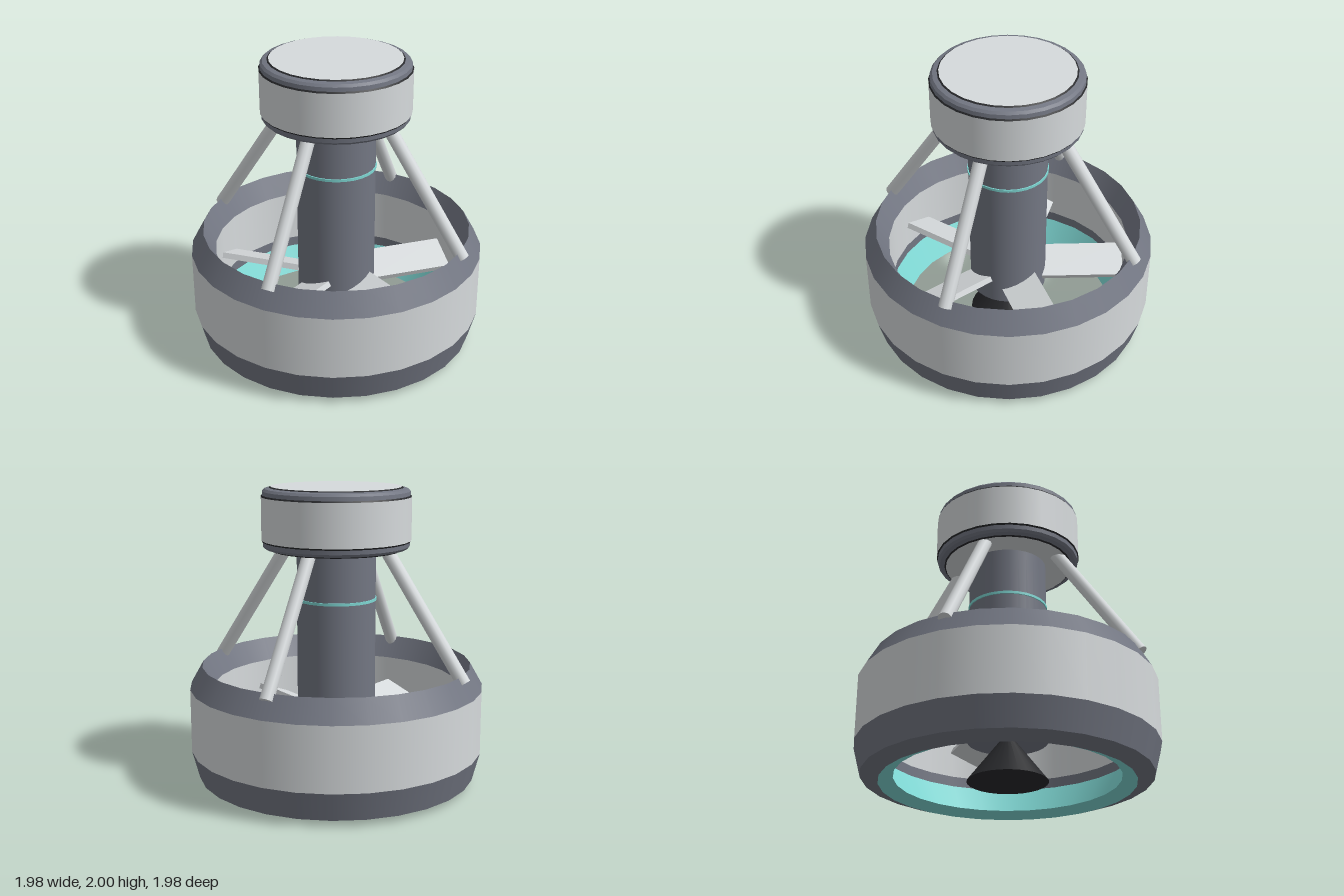
import * as THREE from 'three';
import { mergeGeometries } from 'three/addons/utils/BufferGeometryUtils.js';

const material = (name, color) => {
  const m = new THREE.MeshStandardMaterial({ color });
  m.name = name;
  return m;
};

export function createModel() {
  const light = material('light grey', 0xd6dadc);
  const dark = material('slate grey', 0x737783);
  const teal = material('teal', 0x7fd8d4);
  const black = material('black', 0x28292c);
  const model = new THREE.Group();
  model.name = 'ductedFanDrone';

  const add = (name, geometry, mat, parent = model) => {
    const mesh = new THREE.Mesh(geometry, mat);
    mesh.name = name;
    parent.add(mesh);
    return mesh;
  };

  // Turned surface: each profile segment is its own lathe, so rings stay sharp.
  // Profiles run up the outside, inward over the top and down the inside.
  const turned = (name, mat, profile, parent, sides = 28) => {
    const bands = [];
    for (let i = 0; i + 1 < profile.length; i++) {
      const pts = [profile[i], profile[i + 1]].map(([r, y]) => new THREE.Vector2(r, y));
      bands.push(new THREE.LatheGeometry(pts, sides, Math.PI / sides));
    }
    return add(name, mergeGeometries(bands), mat, parent);
  };

  // Duct
  const duct = new THREE.Group();
  duct.name = 'duct';
  model.add(duct);
  turned('ductLowerShell', dark, [[0.83, 0], [0.945, 0.04], [0.995, 0.23]], duct);
  turned('ductOuterPanel', light, [[0.995, 0.23], [0.995, 0.66]], duct);
  turned('ductUpperLip', dark, [[0.995, 0.66], [0.91, 0.81], [0.83, 0.66]], duct);
  turned('ductInnerPanel', light, [[0.83, 0.66], [0.83, 0.29]], duct);
  turned('ductInnerBand', dark, [[0.83, 0.29], [0.83, 0.22]], duct);
  turned('ductGlowRing', teal, [[0.83, 0.22], [0.735, 0.04], [0.83, 0]], duct);

  // Central column and tail cone
  turned('column', dark, [[0, 0.29], [0.265, 0.29], [0.265, 1.6]]);
  turned('columnRing', teal, [[0.265, 1.243], [0.272, 1.243], [0.272, 1.261], [0.265, 1.261]]);
  turned('tailCone', black, [[0, 0.02], [0.265, 0.02], [0, 0.36]]);

  // Fan blades, pitched about their own length
  const fan = new THREE.Group();
  fan.name = 'fan';
  model.add(fan);
  for (let i = 0; i < 5; i++) {
    const arm = new THREE.Group();
    arm.name = 'bladeArm';
    arm.rotation.y = (i * Math.PI * 2) / 5;
    fan.add(arm);
    const blade = add('blade', new THREE.BoxGeometry(0.61, 0.04, 0.255), light, arm);
    blade.position.set(0.505, 0.43, 0);
    blade.rotation.x = 0.38;
  }

  // Four slanted struts between the duct lip and the head
  const foot = new THREE.Vector3(0.655, 0.765, 0.655);
  const top = new THREE.Vector3(0.25, 1.62, 0.25);
  const axis = top.clone().sub(foot);
  for (let i = 0; i < 4; i++) {
    const arm = new THREE.Group();
    arm.name = 'strutArm';
    arm.rotation.y = (i * Math.PI) / 2;
    model.add(arm);
    const strut = add('strut', new THREE.CylinderGeometry(0.046, 0.046, axis.length(), 12), light, arm);
    strut.position.copy(foot).add(top).multiplyScalar(0.5);
    strut.quaternion.setFromUnitVectors(new THREE.Vector3(0, 1, 0), axis.clone().normalize());
  }

  // Head: light drum with rounded dark rims and thin black seams
  const head = new THREE.Group();
  head.name = 'head';
  model.add(head);
  turned('headUnderside', light, [[0, 1.58], [0.435, 1.58]], head);
  turned('headLowerSeam', black, [[0.435, 1.58], [0.445, 1.587]], head);
  turned('headLowerRim', dark,
    [[0.445, 1.587], [0.475, 1.594], [0.49, 1.61], [0.493, 1.638]], head);
  turned('headDrumLowerLine', black, [[0.493, 1.638], [0.5, 1.648]], head);
  turned('headDrum', light, [[0.5, 1.648], [0.5, 1.934]], head);
  turned('headDrumUpperLine', black, [[0.5, 1.934], [0.493, 1.944]], head);
  turned('headUpperRim', dark,
    [[0.493, 1.944], [0.49, 1.97], [0.475, 1.986], [0.445, 1.993]], head);
  turned('headUpperSeam', black, [[0.445, 1.993], [0.435, 2]], head);
  turned('headTop', light, [[0.435, 2], [0, 2]], head);

  return model;
}
